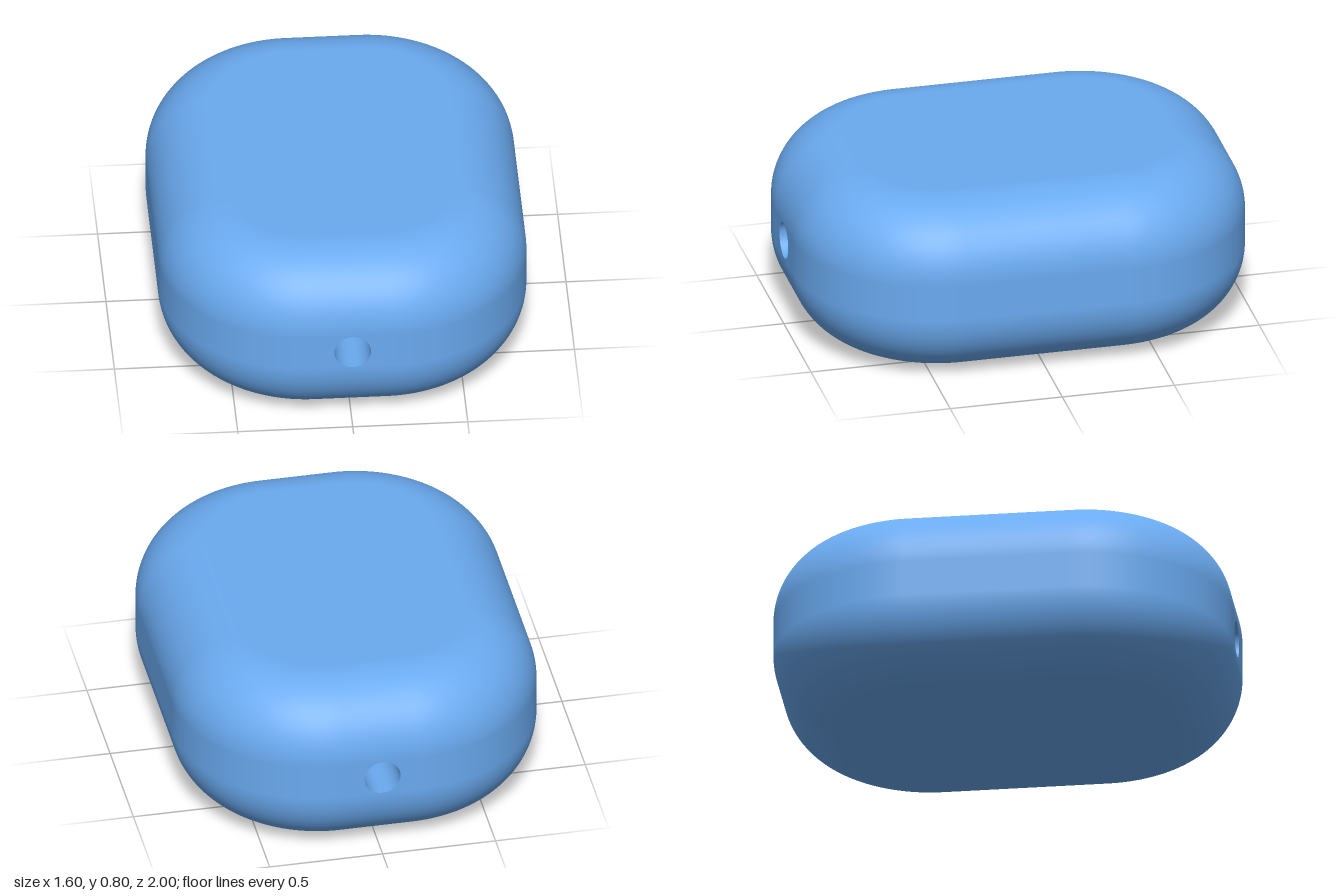
import * as THREE from 'three';

const MID = 0.4;       // height of the hole axis
const CX = 0.16;       // corner centres of the plan outline
const CZ = 0.36;
const CORNER = 0.64;   // plan corner radius
const FILLET = 0.32;   // top and bottom edge radius
const WALL = 0.08;     // half height of the straight wall
const HOLE = 0.08;     // radius of the hole
const SEG = 32;        // segments per quarter turn

// Pillow-shaped shell, open at the two flat end panels
function shellGeometry() {
  // columns run round the plan outline, one quarter arc per corner
  const columns = [];
  for (let q = 0; q < 4; q++) {
    for (let k = 0; k <= SEG; k++) {
      const a = (q + k / SEG) * Math.PI / 2;
      columns.push({
        x: (q === 0 || q === 3 ? CX : -CX),
        z: (q < 2 ? CZ : -CZ),
        c: Math.cos(a), s: Math.sin(a),
      });
    }
  }
  // rows run from the bottom centre up to the top centre
  const rows = [{ f: -Math.PI / 2, side: -1, centre: true }];
  for (const side of [-1, 1]) {
    for (let k = 0; k <= SEG; k++) {
      rows.push({ f: (k / SEG + (side < 0 ? -1 : 0)) * Math.PI / 2, side });
    }
  }
  rows.push({ f: Math.PI / 2, side: 1, centre: true });

  const pos = [], nor = [], idx = [];
  for (const { f, side, centre } of rows) {
    const cf = Math.cos(f), sf = Math.sin(f);
    const r = CORNER - FILLET + FILLET * cf;
    const y = MID + side * WALL + FILLET * sf;
    for (const { x, z, c, s } of columns) {
      if (centre) pos.push(0, y, 0);
      else pos.push(x + r * c, y, z + r * s);
      nor.push(c * cf, sf, s * cf);
    }
  }
  const n = columns.length, wallRow = SEG + 1;
  for (let i = 0; i < rows.length - 1; i++) {
    for (let j = 0; j < n; j++) {
      const endPanel = j === SEG || j === 3 * SEG + 2;
      if (i === wallRow && endPanel) continue;
      const j2 = (j + 1) % n;
      const a = i * n + j, b = i * n + j2, c = a + n, d = b + n;
      if (i < rows.length - 2) idx.push(a, c, d);
      if (i > 0) idx.push(a, d, b);
    }
  }
  const g = new THREE.BufferGeometry();
  g.setAttribute('position', new THREE.Float32BufferAttribute(pos, 3));
  g.setAttribute('normal', new THREE.Float32BufferAttribute(nor, 3));
  g.setIndex(idx);
  return g;
}

// Flat end panel pierced by the hole (a hair smaller than the panel height)
function panelGeometry() {
  const shape = new THREE.Shape();
  shape.moveTo(-CX, -WALL).lineTo(CX, -WALL).lineTo(CX, WALL).lineTo(-CX, WALL).closePath();
  shape.holes.push(new THREE.Path().absarc(0, 0, HOLE - 0.0002, 0, Math.PI * 2, true));
  return new THREE.ShapeGeometry(shape, 32);
}

export function createModel() {
  const group = new THREE.Group();
  group.name = 'bead';
  const material = new THREE.MeshStandardMaterial({ color: 0x6aaaf0 });
  const add = (name, geometry, mat = material) => {
    const mesh = new THREE.Mesh(geometry, mat);
    mesh.name = name;
    group.add(mesh);
    return mesh;
  };

  add('body', shellGeometry());

  const depth = CZ + CORNER;
  const panel = panelGeometry();
  add('frontPanel', panel).position.set(0, MID, depth);
  const back = add('backPanel', panel);
  back.position.set(0, MID, -depth);
  back.rotation.y = Math.PI;

  // threading hole, seen from inside
  const inner = material.clone();
  inner.side = THREE.BackSide;
  const tunnel = add('hole', new THREE.CylinderGeometry(HOLE, HOLE, 2 * depth, 64, 1, true), inner);
  tunnel.rotation.x = Math.PI / 2;
  tunnel.position.y = MID;

  return group;
}
